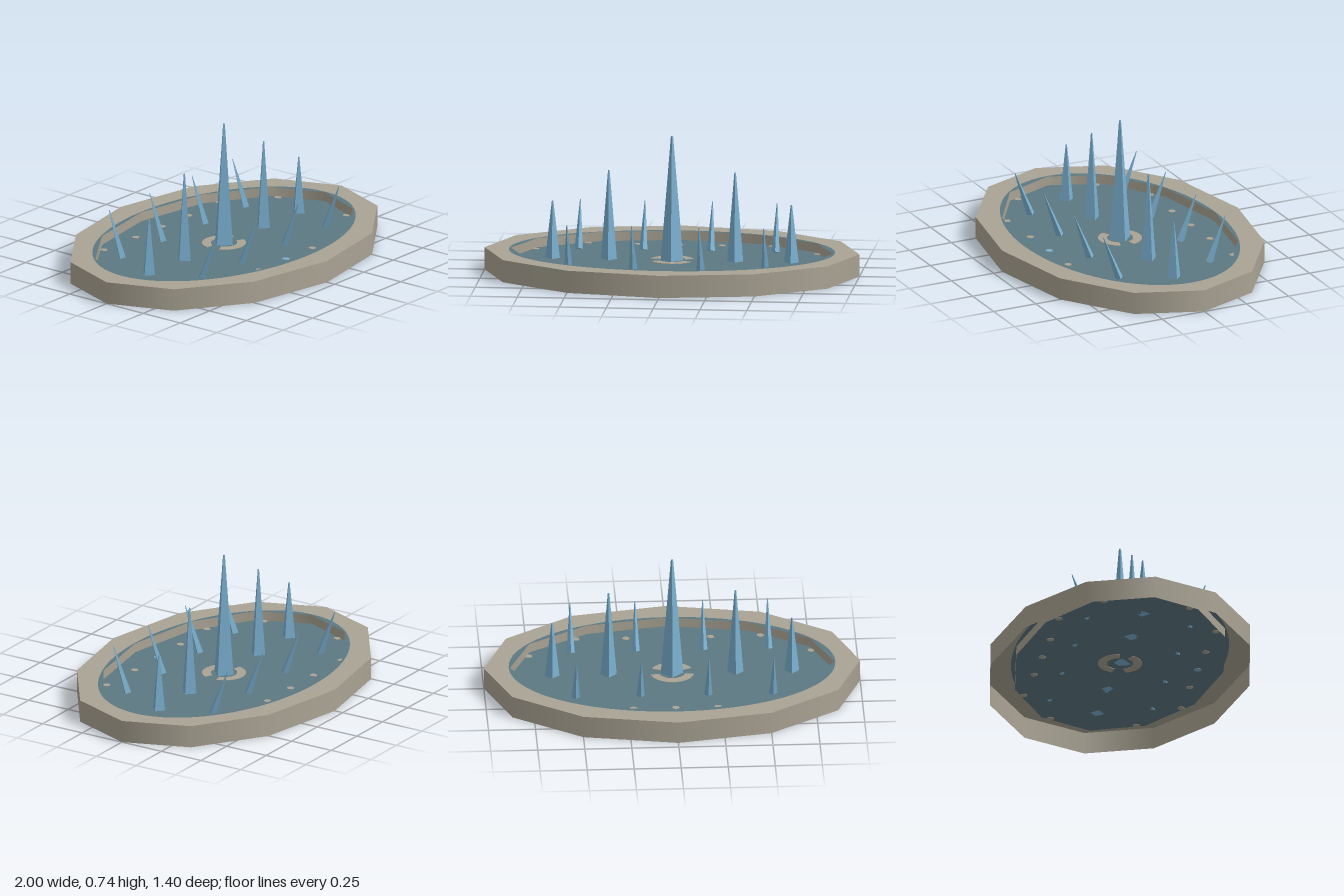
import * as THREE from 'three';

const RIM_Y = 0.12, WATER_Y = 0.07, SIDES = 12;
const OUTER = [1, 0.7], INNER = [0.86, 0.56], EDGE = [0.868, 0.566];

// closed outline of points on an ellipse
function ellipsePoints([rx, rz], count) {
  return Array.from({ length: count }, (_, i) => {
    const a = (i / count) * Math.PI * 2;
    return new THREE.Vector2(rx * Math.cos(a), rz * Math.sin(a));
  });
}

// horizontal flat sheet, optionally with a hole
function sheet(outline, hole, y) {
  const shape = new THREE.Shape(outline);
  if (hole) shape.holes.push(new THREE.Path(hole));
  return new THREE.ShapeGeometry(shape).rotateX(-Math.PI / 2).translate(0, y, 0);
}

// open twelve-sided wall between two heights
function wall([rx, rz], y0, y1) {
  return new THREE.CylinderGeometry(1, 1, y1 - y0, SIDES, 1, true)
    .scale(rx, 1, rz).translate(0, (y0 + y1) / 2, 0);
}

export function createModel() {
  const group = new THREE.Group();
  const material = (name, color, extra = {}) =>
    Object.assign(new THREE.MeshStandardMaterial({ color, ...extra }), { name });
  const stone = material('stone', 0xa9a393, { side: THREE.DoubleSide });
  const water = material('water', 0x5d7882, { side: THREE.DoubleSide });
  const spray = material('spray', 0x7ab0d0, { flatShading: true });

  const add = (name, geometry, mat, parent = group) => {
    const mesh = new THREE.Mesh(geometry, mat);
    mesh.name = name;
    parent.add(mesh);
    return mesh;
  };

  // basin: outer wall, flat rim and short inner wall, open underneath
  add('outerWall', wall(OUTER, 0, RIM_Y), stone);
  add('innerWall', wall(INNER, WATER_Y, RIM_Y), stone);
  add('rim', sheet(ellipsePoints(OUTER, SIDES), ellipsePoints(EDGE, 72), RIM_Y), stone);

  // wet margin on the rim, and the pool surface
  add('wetRimEdge', sheet(ellipsePoints(EDGE, 72), ellipsePoints(INNER, SIDES), RIM_Y), water);
  add('waterSurface', sheet(ellipsePoints(INNER, SIDES), null, WATER_Y), water);

  // stone dots around the pool; the front middle one is pale
  const dot = (x, z, mat) => add('poolDot',
    new THREE.CylinderGeometry(0.02, 0.02, 0.005, 8).translate(x, WATER_Y, z), mat);
  for (const s of [-1, 1]) {
    for (const x of [-1, 1]) {
      dot(x * 0.49, s * 0.425, stone);
      dot(x * 0.225, s * 0.42, stone);
      dot(x * 0.75, s * 0.232, stone);
    }
    dot(0, s * 0.42, s > 0 ? spray : stone);
  }

  // two stone arcs around the middle jet
  for (const [start, end] of [[0.2, Math.PI - 0.2], [Math.PI + 0.45, 2 * Math.PI - 0.45]]) {
    const arc = new THREE.Shape();
    arc.absarc(0, 0, 0.117, start, end, false);
    arc.absarc(0, 0, 0.07, end, start, true);
    add('centreArc', new THREE.ExtrudeGeometry(arc, { depth: 0.005, bevelEnabled: false, curveSegments: 16 })
      .rotateX(-Math.PI / 2).translate(0, WATER_Y - 0.0025, 0), stone);
  }

  // four-sided tapering jet between two points
  const jet = (name, from, to, radius) => {
    const dir = to.clone().sub(from);
    const mesh = add(name, new THREE.CylinderGeometry(radius * 0.1, radius, dir.length(), 4), spray);
    mesh.position.copy(from).add(to).multiplyScalar(0.5);
    mesh.quaternion.setFromUnitVectors(new THREE.Vector3(0, 1, 0), dir.normalize());
  };
  const v = (x, y, z) => new THREE.Vector3(x, y, z);

  // upright jets along the long axis
  for (const [x, top, r] of [[0, 0.74, 0.06], [0.337, 0.55, 0.043], [0.637, 0.38, 0.039]]) {
    for (const s of x ? [-1, 1] : [1]) {
      jet('uprightJet', v(s * x, WATER_Y, 0), v(s * x, top, 0), r);
    }
  }

  // small jets leaning outward, front and back
  for (const x of [-0.525, -0.18, 0.18, 0.525]) {
    for (const s of [-1, 1]) {
      jet('leaningJet', v(x, WATER_Y, s * 0.268), v(x, 0.319, s * 0.361), 0.022);
    }
  }
  return group;
}
